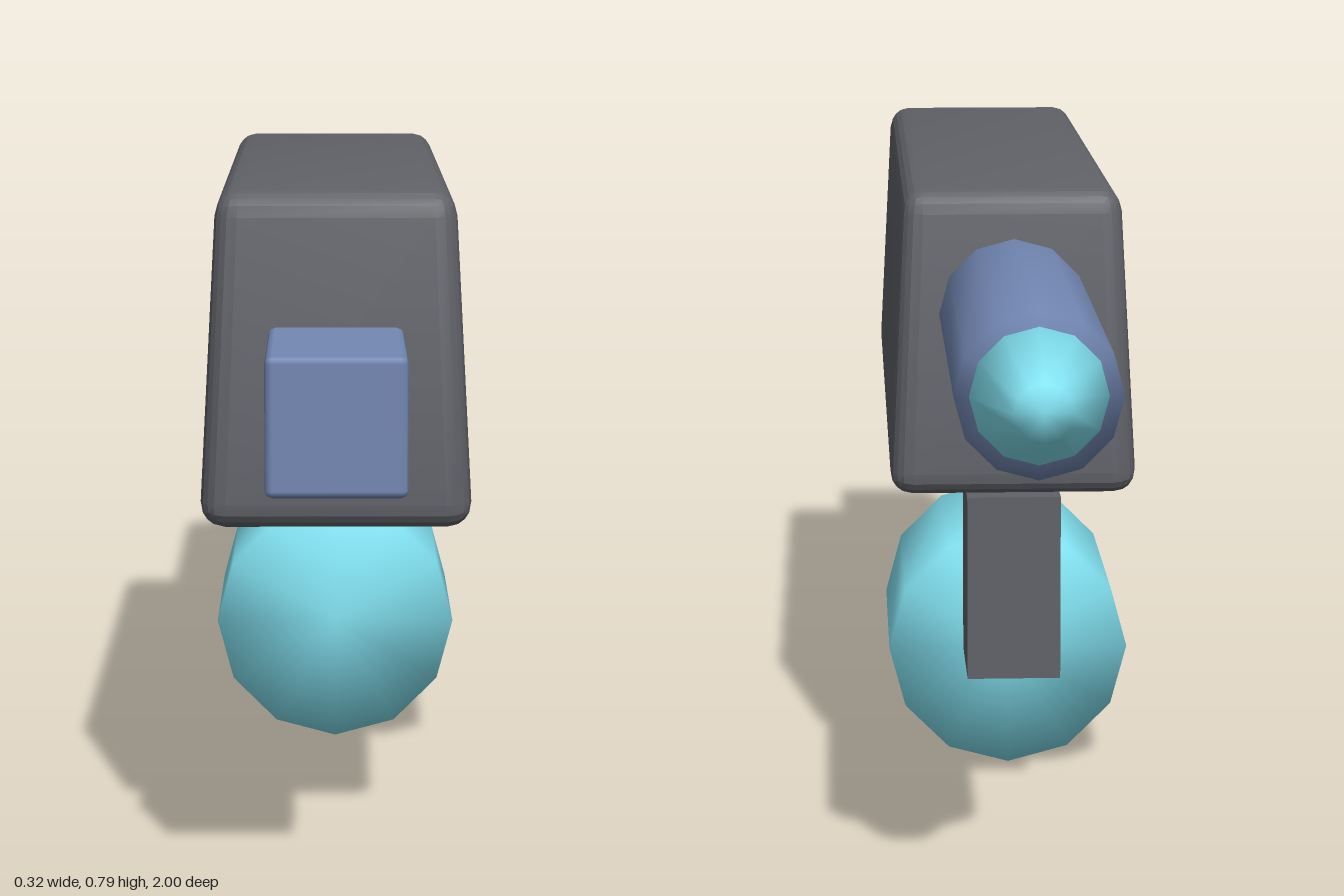
import * as THREE from 'three';
import { mergeVertices, toCreasedNormals } from 'three/addons/utils/BufferGeometryUtils.js';
import { RoundedBoxGeometry } from 'three/addons/geometries/RoundedBoxGeometry.js';

const dark = new THREE.MeshStandardMaterial({ color: 0x606268 });
const blue = new THREE.MeshStandardMaterial({ color: 0x7388b4 });
const cyan = new THREE.MeshStandardMaterial({ color: 0x84e4f4 });

// 12-sided cylinder along z, caps and sides sharing smooth normals
function smoothCylinder(rFront, rBack, zFront, zBack, y) {
  let geo = new THREE.CylinderGeometry(rFront, rBack, zFront - zBack, 12);
  geo.rotateX(Math.PI / 2);
  geo.translate(0, y, (zFront + zBack) / 2);
  geo.deleteAttribute('uv');
  geo.deleteAttribute('normal');
  geo = mergeVertices(geo, 1e-4);
  geo.computeVertexNormals();
  return geo;
}

// Bevelled box narrowing towards the top
function taperedBody() {
  const height = 0.39;
  const geo = new RoundedBoxGeometry(0.318, height, 1.11, 2, 0.03);
  const pos = geo.attributes.position;
  for (let i = 0; i < pos.count; i++) {
    const t = pos.getY(i) / height + 0.5;
    pos.setX(i, pos.getX(i) * (1 - 0.125 * t));
    pos.setZ(i, pos.getZ(i) * (1 - 0.065 * t));
  }
  geo.translate(0, 0.4 + height / 2, 0.208);
  return toCreasedNormals(geo, 0.3);
}

export function createModel() {
  const model = new THREE.Group();
  const add = (name, geometry, material) => {
    const mesh = new THREE.Mesh(geometry, material);
    mesh.name = name;
    model.add(mesh);
    return mesh;
  };

  add('body', taperedBody(), dark);

  // Block projecting from the front of the body
  add('frontBlock', new RoundedBoxGeometry(0.156, 0.155, 0.34, 1, 0.008), blue)
    .position.set(0, 0.557, 0.83);

  // Barrel and its tapered tip at the back
  add('barrel', smoothCylinder(0.095, 0.095, -0.345, -0.9, 0.638), blue);
  add('barrelTip', smoothCylinder(0.078, 0.033, -0.9, -1, 0.638), cyan);

  // Post hanging under the body, with the drum in front of it
  add('post', new THREE.BoxGeometry(0.12, 0.24, 0.16), dark)
    .position.set(0, 0.28, -0.268);
  add('drum', smoothCylinder(0.159, 0.159, 0.13, -0.19, 0.159), cyan);

  return model;
}
